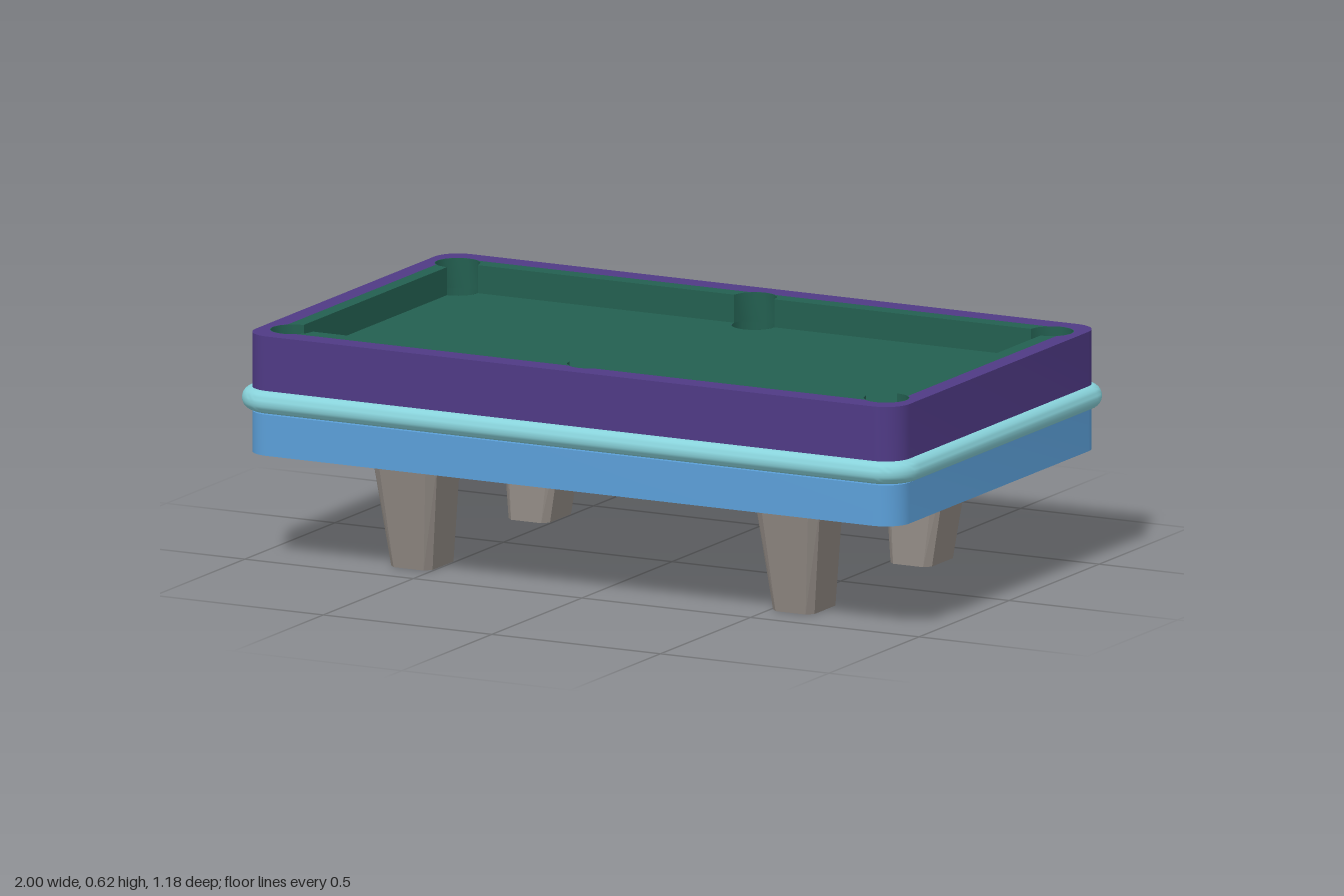
import * as THREE from 'three';
import { toCreasedNormals } from 'three/addons/utils/BufferGeometryUtils.js';
import { ConvexGeometry } from 'three/addons/geometries/ConvexGeometry.js';

const PX = 0.88, PZ = 0.457, PR = 0.06; // pocket centres and radius
const POCKETS = [-PX, 0, PX].flatMap(x => [[x, -PZ], [x, PZ]]);

function material(name, color, side = THREE.FrontSide) {
  const m = new THREE.MeshStandardMaterial({ color, side });
  m.name = name;
  return m;
}

function roundedRect(hx, hz, r) {
  const s = new THREE.Shape();
  s.absarc(hx - r, hz - r, r, 0, Math.PI / 2);
  s.absarc(-hx + r, hz - r, r, Math.PI / 2, Math.PI);
  s.absarc(-hx + r, -hz + r, r, Math.PI, Math.PI * 1.5);
  s.absarc(hx - r, -hz + r, r, Math.PI * 1.5, Math.PI * 2);
  s.closePath();
  return s;
}

// Rectangle outline bulging outwards around each of the six pockets
function notchedRect(hx, hz, r) {
  const pts = [];
  const arc = (cx, cz, a0, a1, n) => {
    for (let i = 0; i <= n; i++) {
      const a = a0 + (a1 - a0) * i / n;
      pts.push(new THREE.Vector2(cx + r * Math.cos(a), cz + r * Math.sin(a)));
    }
  };
  const ax = Math.acos((hx - PX) / r), az = Math.asin((hz - PZ) / r);
  arc(PX, PZ, -ax, Math.PI - az, 9);
  arc(0, PZ, az, Math.PI - az, 6);
  arc(-PX, PZ, az, Math.PI + ax, 9);
  arc(-PX, -PZ, Math.PI - ax, Math.PI * 2 - az, 9);
  arc(0, -PZ, Math.PI + az, Math.PI * 2 - az, 6);
  arc(PX, -PZ, Math.PI + az, Math.PI * 2 + ax, 9);
  return pts;
}

// Upright slab of a plan shape between two heights
function slab(shape, y0, y1, bevel = 0) {
  const g = new THREE.ExtrudeGeometry(shape, {
    depth: y1 - y0, curveSegments: 6, bevelEnabled: bevel > 0,
    bevelSize: bevel, bevelThickness: bevel, bevelSegments: 6,
  });
  g.rotateX(-Math.PI / 2).translate(0, y0, 0);
  return toCreasedNormals(g, 0.6);
}

// Tapered leg with chamfered corners; sx, sz mirror it
function legGeometry(sx, sz) {
  const pts = [];
  const ring = (y, x0, x1, z0, z1, cx, cz) => {
    for (const [x, dx] of [[x0, cx], [x1, -cx]]) {
      for (const [z, dz] of [[z0, cz], [z1, -cz]]) {
        pts.push(new THREE.Vector3(sx * (x + dx), y, sz * z));
        pts.push(new THREE.Vector3(sx * x, y, sz * (z + dz)));
      }
    }
  };
  ring(0, 0.505, 0.628, 0.25, 0.402, 0.017, 0.018);
  ring(0.305, 0.47, 0.665, 0.275, 0.44, 0.026, 0.018);
  return new ConvexGeometry(pts);
}

export function createModel() {
  const model = new THREE.Group();
  model.name = 'poolTable';
  const purple = material('purple rim', 0x4f3a85);
  const felt = material('green felt', 0x235f50);
  const feltInside = material('green pocket lining', 0x235f50, THREE.DoubleSide);
  const dark = material('dark pocket', 0x18362f);
  const blue = material('blue base', 0x5b9fd8);
  const aqua = material('aqua trim', 0x88d2da);
  const grey = material('grey leg', 0x8f8882);

  const add = (name, geometry, mat, parent = model) => {
    const mesh = new THREE.Mesh(geometry, mat);
    mesh.name = name;
    parent.add(mesh);
    return mesh;
  };

  // Base, neck and bumper
  add('base', slab(roundedRect(0.97, 0.567, 0.07), 0.3, 0.41), blue);
  add('neck', slab(roundedRect(0.955, 0.552, 0.06), 0.4, 0.48), blue);
  add('bumper', slab(roundedRect(0.97, 0.561, 0.07), 0.443, 0.444, 0.03), aqua);

  // Outer rim, open in the middle
  const rim = roundedRect(0.97, 0.567, 0.07);
  rim.holes.push(new THREE.Path(notchedRect(0.92, 0.505, PR + 0.001)));
  add('rim', slab(rim, 0.474, 0.62), purple);

  // Cushions, cut away around the pockets
  const cushion = new THREE.Shape(notchedRect(0.92, 0.505, PR + 0.001));
  cushion.holes.push(new THREE.Path(notchedRect(PX, PZ, PR)));
  add('cushions', slab(cushion, 0.54, 0.62), felt);

  // Playing bed with six holes
  const bed = roundedRect(0.95, 0.54, 0.04);
  for (const [x, z] of POCKETS) {
    const hole = new THREE.Path();
    hole.absarc(x, z, PR, 0, Math.PI * 2);
    bed.holes.push(hole);
  }
  const bedGeometry = new THREE.ShapeGeometry(bed, 12);
  add('bed', bedGeometry.rotateX(-Math.PI / 2).translate(0, 0.545, 0), felt);

  // Pocket cups
  const cup = new THREE.CylinderGeometry(PR, PR, 0.062, 12, 1, true);
  const floor = new THREE.CircleGeometry(PR, 12).rotateX(-Math.PI / 2);
  for (const [x, z] of POCKETS) {
    const pocket = new THREE.Group();
    pocket.name = 'pocket';
    pocket.position.set(x, 0.514, z);
    add('pocketWall', cup, feltInside, pocket);
    add('pocketFloor', floor, dark, pocket).position.y = -0.03;
    model.add(pocket);
  }

  // Legs
  for (const sx of [1, -1]) {
    for (const sz of [1, -1]) {
      add((sz > 0 ? 'front' : 'back') + (sx > 0 ? 'Left' : 'Right') + 'Leg', legGeometry(sx, sz), grey);
    }
  }
  return model;
}
